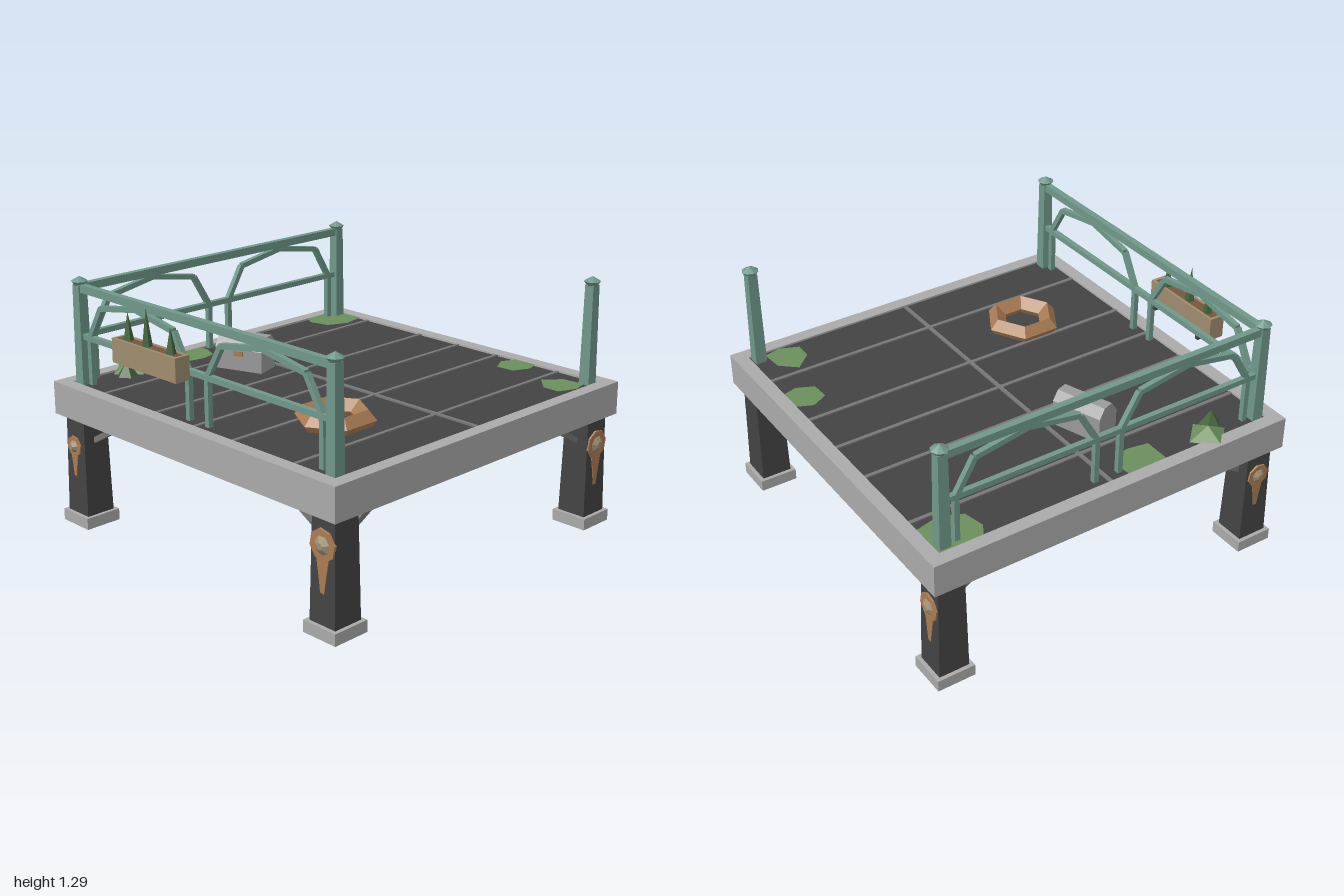
import * as THREE from 'three';

const mat = (name, color, extra = {}) => {
  const m = new THREE.MeshStandardMaterial({ color, flatShading: true, ...extra });
  m.name = name;
  return m;
};
const M = {
  stone: mat('stoneGrey', 0xaaaaaa),
  charcoal: mat('charcoal', 0x434343),
  steel: mat('steelGrey', 0x777777),
  teal: mat('tealPaint', 0x70988a),
  tan: mat('tanWood', 0x9e8c6e),
  soil: mat('soilBrown', 0x76573f),
  copper: mat('rustBrown', 0xa97b53),
  moss: mat('mossGreen', 0x6b8f5c, { side: THREE.DoubleSide }),
  leaf: mat('leafGreen', 0x42643b),
  chest: mat('chestGrey', 0x9a9a9a),
};

function add(parent, name, geo, material, x = 0, y = 0, z = 0) {
  const m = new THREE.Mesh(geo, material);
  m.name = name;
  m.position.set(x, y, z);
  parent.add(m);
  return m;
}
const box = (parent, name, material, w, h, d, x, y, z) =>
  add(parent, name, new THREE.BoxGeometry(w, h, d), material, x, y, z);

// square tapered column with half-widths b (bottom) and t (top)
const taper = (b, t, h) =>
  new THREE.CylinderGeometry(t * Math.SQRT2, b * Math.SQRT2, h, 4).rotateY(Math.PI / 4);

// square bar joining two points
function bar(parent, name, material, a, b, w) {
  const p = new THREE.Vector3(...a), q = new THREE.Vector3(...b);
  const m = box(parent, name, material, w, w, p.distanceTo(q), 0, 0, 0);
  m.position.copy(p).add(q).multiplyScalar(0.5);
  m.lookAt(q);
  return m;
}

// flat polygon lying on the deck
function patch(parent, pts) {
  const s = new THREE.Shape(pts.map(([x, z]) => new THREE.Vector2(x, -z)));
  add(parent, 'mossPatch', new THREE.ShapeGeometry(s).rotateX(-Math.PI / 2), M.moss, 0, 0.748, 0);
}

// rust stain with a drip and a bolt, facing +z before turning
function rustStain(parent, x, y, z, ry, s) {
  const g = new THREE.Group();
  g.name = 'rustStain';
  g.position.set(x, y, z);
  g.rotation.y = ry;
  const disc = new THREE.CylinderGeometry(0.078 * s, 0.08 * s, 0.012, 8);
  add(g, 'rustDisc', disc.rotateX(Math.PI / 2).rotateZ(0.2), M.copper, 0, 0, 0.002);
  const drip = new THREE.Shape([
    [-0.04, -0.05], [-0.025, -0.14], [-0.014, -0.225], [0.01, -0.23], [0.024, -0.14], [0.04, -0.05],
  ].map(([a, b]) => new THREE.Vector2(a * s, b * s)));
  add(g, 'rustDrip', new THREE.ExtrudeGeometry(drip, { depth: 0.009, bevelEnabled: false }), M.copper, 0, 0, -0.003);
  const bolt = new THREE.CylinderGeometry(0.018 * s, 0.05 * s, 0.02, 7);
  add(g, 'bolt', bolt.rotateX(Math.PI / 2), M.tan, 0, 0, 0.016);
  parent.add(g);
}

// railing along local x with two faceted arches
function railing(name) {
  const g = new THREE.Group();
  g.name = name;
  box(g, 'topRail', M.teal, 1.78, 0.04, 0.034, 0, 1.235, 0);
  box(g, 'middleRail', M.teal, 1.74, 0.028, 0.028, 0, 0.99, 0);
  const half = [[-0.375, 0.75], [-0.375, 0.99], [-0.275, 1.16], [0, 1.208]];
  const pts = [...half, ...half.slice(0, 3).reverse().map(([x, y]) => [-x, y])];
  for (const c of [-0.443, 0.443])
    for (let i = 0; i < pts.length - 1; i++)
      bar(g, 'archBar', M.teal, [c + pts[i][0], pts[i][1], 0], [c + pts[i + 1][0], pts[i + 1][1], 0], 0.027);
  return g;
}

export function createModel() {
  const root = new THREE.Group();
  root.name = 'platform';

  // stone rim
  const sq = (C, h) => new C([[-h, -h], [h, -h], [h, h], [-h, h]].map(p => new THREE.Vector2(...p)));
  const rim = sq(THREE.Shape, 1);
  rim.holes.push(sq(THREE.Path, 0.93));
  add(root, 'rim', new THREE.ExtrudeGeometry(rim, { depth: 0.17, bevelEnabled: false }).rotateX(-Math.PI / 2), M.stone, 0, 0.58, 0);

  // deck, seams and underside beams
  box(root, 'deck', M.charcoal, 1.87, 0.09, 1.87, 0, 0.695, 0);
  for (const x of [-0.675, -0.275, 0, 0.27, 0.675])
    box(root, 'deckSeam', M.steel, 0.02, 0.012, 1.86, x, 0.741, 0);
  box(root, 'crossSeam', M.steel, 1.86, 0.012, 0.02, 0, 0.742, 0);
  box(root, 'longBeam', M.steel, 0.1, 0.05, 1.6, 0, 0.63, 0.1);
  box(root, 'crossBeam', M.charcoal, 1.86, 0.05, 0.07, 0, 0.632, 0);
  box(root, 'drain', M.charcoal, 0.07, 0.08, 0.09, -0.27, 0.615, 0.41);

  // legs, footings, braces, posts and caps at the corners
  for (const sx of [-1, 1]) for (const sz of [-1, 1]) {
    const x = 0.89 * sx, z = 0.89 * sz;
    box(root, 'footing', M.stone, 0.2, 0.06, 0.2, x, 0.03, z);
    add(root, 'leg', taper(0.08, 0.069, 0.6), M.charcoal, x, 0.36, z);
    bar(root, 'brace', M.steel, [sx * 0.83, 0.45, z], [sx * 0.55, 0.61, z], 0.028);
    bar(root, 'brace', M.steel, [x, 0.45, sz * 0.83], [x, 0.61, sz * 0.55], 0.028);
    add(root, 'post', taper(0.03, 0.025, 0.51), M.teal, x, 0.995, z);
    const cap = new THREE.LatheGeometry([[0.025, 1.245], [0.043, 1.268], [0, 1.293]].map(p => new THREE.Vector2(...p)), 8);
    add(root, 'postCap', cap, M.teal, x, 0, z);
  }

  // railings on two sides
  const front = railing('frontRailing');
  front.position.z = 0.89;
  const side = railing('sideRailing');
  side.position.x = -0.89;
  side.rotation.y = Math.PI / 2;
  root.add(front, side);

  // rust stains on the legs
  rustStain(root, 0.89, 0.44, 0.963, 0, 1);
  rustStain(root, -0.9, 0.42, 0.963, 0, 0.7);
  rustStain(root, -0.963, 0.43, 0.89, -Math.PI / 2, 0.8);
  rustStain(root, 0.963, 0.435, -0.89, Math.PI / 2, 0.95);
  rustStain(root, -0.89, 0.43, -0.963, Math.PI, 0.9);

  // hanging planter
  const planter = new THREE.Group();
  planter.name = 'planter';
  planter.position.set(-0.265, 0, 0.957);
  box(planter, 'planterBase', M.tan, 0.47, 0.1, 0.084, 0, 1.01, 0);
  for (const s of [-1, 1]) {
    box(planter, 'planterSide', M.tan, 0.47, 0.022, 0.014, 0, 1.07, s * 0.035);
    box(planter, 'planterEnd', M.tan, 0.016, 0.022, 0.084, s * 0.227, 1.07, 0);
    box(planter, 'planterHook', M.charcoal, 0.02, 0.02, 0.07, s * 0.17, 0.955, -0.035);
  }
  box(planter, 'soil', M.soil, 0.44, 0.02, 0.058, 0, 1.067, 0);
  for (const [x, h] of [[-0.16, 0.14], [-0.02, 0.185], [0.155, 0.13]])
    add(planter, 'sprout', new THREE.ConeGeometry(0.027, h, 5), M.leaf, x, 1.075 + h / 2, 0);
  root.add(planter);

  // storage chest with a faceted lid
  const chest = new THREE.Group();
  chest.name = 'chest';
  chest.position.set(-0.51, 0.745, 0.15);
  chest.rotation.y = 0.34;
  const extrudeX = (pts, len) => new THREE.ExtrudeGeometry(
    new THREE.Shape(pts.map(([z, y]) => new THREE.Vector2(-z, y))), { depth: len, bevelEnabled: false },
  ).translate(0, 0, -len / 2).rotateY(Math.PI / 2);
  box(chest, 'chestBody', M.chest, 0.265, 0.105, 0.143, 0, 0.0525, 0);
  add(chest, 'chestLid', extrudeX([[0.074, 0.105], [0.074, 0.112], [0.025, 0.18], [-0.035, 0.18], [-0.074, 0.135], [-0.074, 0.105]], 0.27), M.chest);
  box(chest, 'chestLatch', M.copper, 0.05, 0.025, 0.009, 0.0, 0.09, 0.074);
  root.add(chest);

  // six-sided fire ring
  const ring = [[0.12, 0.745], [0.18, 0.745], [0.2, 0.775], [0.157, 0.825], [0.1, 0.775], [0.12, 0.745]];
  add(root, 'fireRing', new THREE.LatheGeometry(ring.map(p => new THREE.Vector2(...p)), 6), M.copper, 0.43, 0, 0.43);

  // moss and bushes
  patch(root, [[-0.93, -0.93], [-0.74, -0.93], [-0.71, -0.8], [-0.76, -0.69], [-0.87, -0.665], [-0.93, -0.7]]);
  patch(root, [[0.4, -0.93], [0.53, -0.93], [0.55, -0.86], [0.51, -0.77], [0.41, -0.765], [0.365, -0.85]]);
  patch(root, [[0.78, -0.84], [0.9, -0.85], [0.92, -0.76], [0.88, -0.665], [0.79, -0.665], [0.705, -0.755]]);
  patch(root, [[-0.93, 0.1], [-0.88, 0.095], [-0.79, 0.13], [-0.77, 0.21], [-0.79, 0.32], [-0.93, 0.32]]);
  add(root, 'bush', new THREE.ConeGeometry(0.108, 0.055, 4), M.moss, -0.89, 0.772, 0.6);
  add(root, 'smallBush', new THREE.ConeGeometry(0.055, 0.08, 5), M.leaf, -0.825, 0.785, 0.672);

  return root;
}
